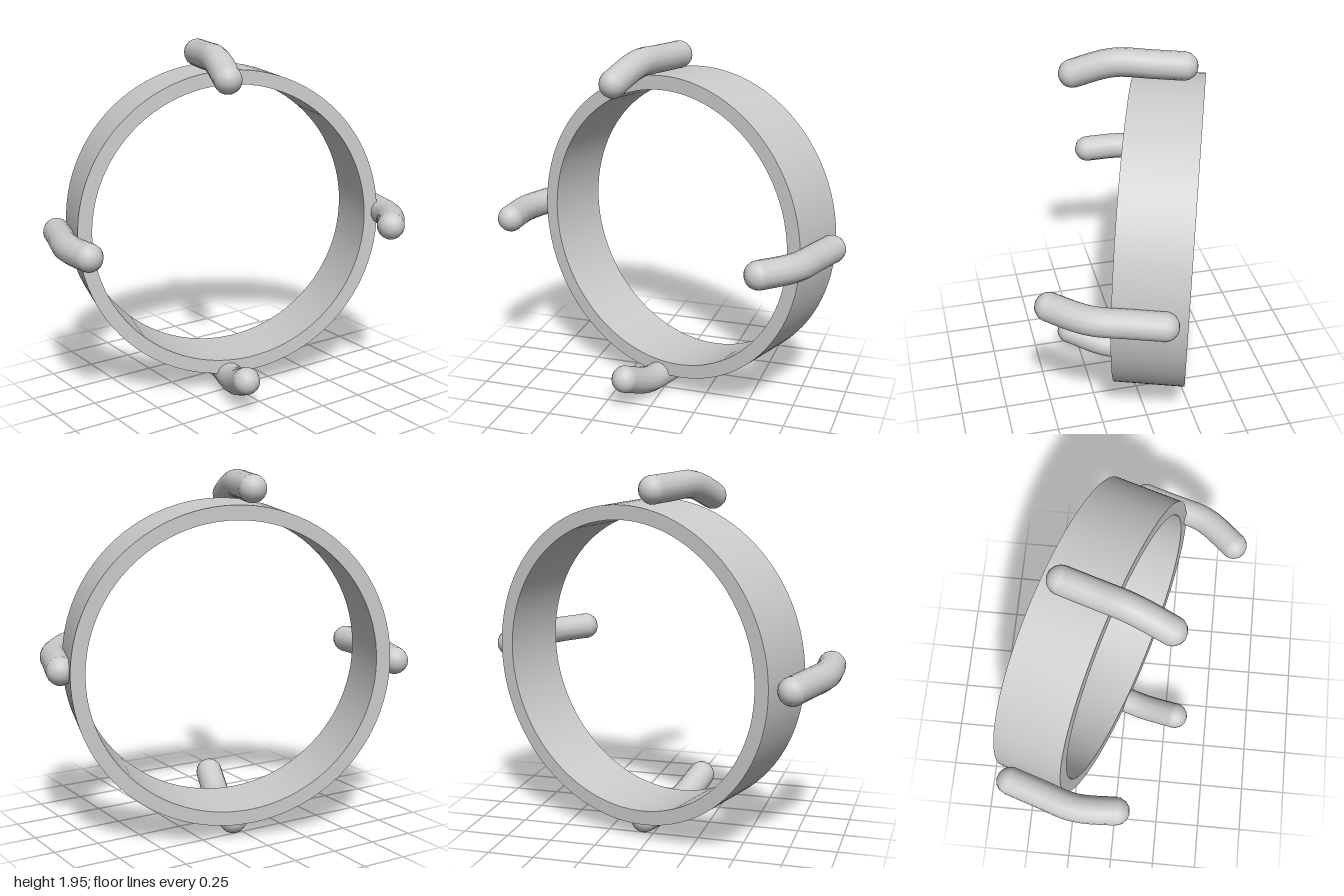
import * as THREE from 'three';
import { mergeVertices } from 'three/addons/utils/BufferGeometryUtils.js';

const material = new THREE.MeshStandardMaterial({ color: 0xcccccc });

// Flat-walled ring with sharp rims, its axis along z and its front at z = 0
function makeRing(outer, inner, depth) {
  const shape = new THREE.Shape().absarc(0, 0, outer, 0, Math.PI * 2);
  shape.holes.push(new THREE.Path().absarc(0, 0, inner, 0, Math.PI * 2, true));
  const extruded = new THREE.ExtrudeGeometry(shape, { depth, bevelEnabled: false, curveSegments: 48 });
  // weld the walls so they shade smoothly; the rims stay apart because their normals differ
  const p = extruded.attributes.position, n = extruded.attributes.normal;
  for (let i = 0; i < p.count; i++) {
    if (Math.abs(n.getZ(i)) > 0.5) continue;
    const r = Math.hypot(p.getX(i), p.getY(i));
    const s = (r > (outer + inner) / 2 ? 1 : -1) / r;
    n.setXYZ(i, p.getX(i) * s, p.getY(i) * s, 0);
  }
  extruded.deleteAttribute('uv');
  extruded.translate(0, 0, -depth);
  const ring = new THREE.Mesh(mergeVertices(extruded), material);
  ring.name = 'ring';
  return ring;
}

// Round-ended finger, running along the ring and bending inward at the front
function makeProng(name, x, y, inward, drop) {
  const radius = 0.075;
  const prong = new THREE.Group();
  prong.name = name;
  const at = (f, z) => new THREE.Vector3(x + inward[0] * drop * f, y + inward[1] * drop * f, z);
  const points = [at(0, -0.265), at(0, -0.09), at(0, 0.07), at(0.25, 0.16), at(1, 0.311)];
  const path = new THREE.CatmullRomCurve3(points);
  const bar = new THREE.Mesh(new THREE.TubeGeometry(path, 20, radius, 14), material);
  bar.name = 'prongBar';
  prong.add(bar);
  for (const end of [points[0], points[4]]) {
    const tip = new THREE.Mesh(new THREE.SphereGeometry(radius, 14, 10), material);
    tip.name = 'prongTip';
    tip.position.copy(end);
    prong.add(tip);
  }
  return prong;
}

export function createModel() {
  const model = new THREE.Group();
  model.name = 'prongedRing';

  // everything shares the ring's turned, slightly raised axis
  const tilted = new THREE.Group();
  tilted.name = 'ringAssembly';
  tilted.position.set(0, 0.945, 0);
  tilted.rotation.set(-0.026, -0.32, 0, 'YXZ');
  model.add(tilted);

  tilted.add(makeRing(0.852, 0.775, 0.38));

  // four prongs around the rim
  tilted.add(
    makeProng('leftProng', 0.888, 0.012, [-1, 0], 0.09),
    makeProng('rightProng', -0.922, -0.02, [1, 0], 0.073),
    makeProng('topProng', -0.113, 0.922, [0, -1], 0.08),
    makeProng('bottomProng', -0.025, -0.864, [0, 1], 0.082),
  );
  return model;
}
